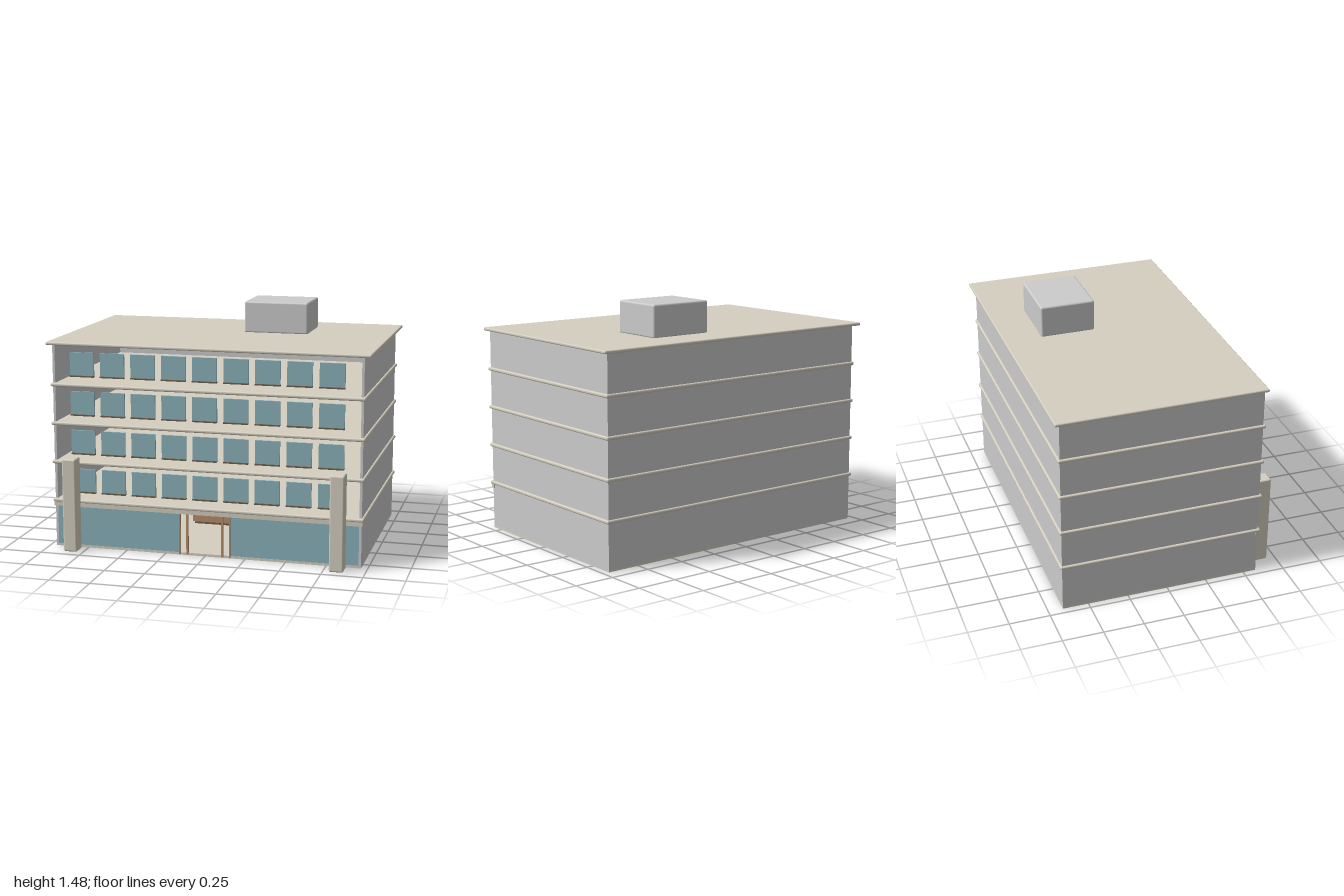
import * as THREE from 'three';
import { RoundedBoxGeometry } from 'three/addons/geometries/RoundedBoxGeometry.js';

const mat = (color) => new THREE.MeshStandardMaterial({ color });
const wall = mat(0xcccccc);
const stone = mat(0xd4cfc0);
const glass = mat(0x8ab2bb);
const wood = mat(0xb98e68);
const darkWood = mat(0x6e5d4b);

export function createModel() {
  const model = new THREE.Group();

  // Box given by its extents on each axis; a bevel radius rounds the edges
  function box(name, material, [x0, x1], [y0, y1], [z0, z1], bevel = 0) {
    const size = [x1 - x0, y1 - y0, z1 - z0];
    const geometry = bevel
      ? new RoundedBoxGeometry(...size, 2, bevel)
      : new THREE.BoxGeometry(...size);
    const mesh = new THREE.Mesh(geometry, material);
    mesh.name = name;
    mesh.position.set((x0 + x1) / 2, (y0 + y1) / 2, (z0 + z1) / 2);
    model.add(mesh);
  }

  // Open-fronted shell
  box('groundSlab', stone, [-0.96, 0.96], [0, 0.015], [-0.66, 0.58]);
  box('backWall', wall, [-0.96, 0.96], [0.002, 1.27], [-0.66, -0.645]);
  for (const s of [-1, 1]) {
    const xs = s < 0 ? [-0.96, -0.945] : [0.945, 0.96];
    box('sideWall', wall, xs, [0.002, 1.27], [-0.645, 0.58]);
  }

  // Floor slabs projecting as ledges, then the roof and its plant room
  const floors = [0.295, 0.538, 0.78, 1.021];
  for (const y of floors) {
    box('floorSlab', stone, [-0.973, 0.973], [y - 0.011, y + 0.011], [-0.672, 0.595], 0.009);
  }
  box('roof', stone, [-1, 1], [1.264, 1.284], [-0.695, 0.592], 0.008);
  box('roofRoom', wall, [0.07, 0.48], [1.28, 1.48], [-0.462, -0.12], 0.012);

  // Window rows with sills, standing in the front opening
  for (const y of floors) {
    for (let i = -4; i <= 4; i++) {
      const x = i * 0.193;
      const xs = [x - 0.076, x + 0.076];
      box('windowPane', glass, xs, [y + 0.06, y + 0.204], [0.567, 0.579]);
      box('windowSill', darkWood, xs, [y + 0.054, y + 0.062], [0.565, 0.589]);
    }
  }

  // Shopfront glazing, lintel and pillars
  box('lintel', stone, [-0.965, 0.965], [0.26, 0.29], [0.565, 0.592]);
  for (const s of [-1, 1]) {
    const xs = s < 0 ? [-0.945, -0.16] : [0.16, 0.945];
    box('shopGlass', glass, xs, [0.012, 0.262], [0.567, 0.579]);
    box('pillar', stone, [s * 0.829 - 0.043, s * 0.829 + 0.043], [0, 0.583], [0.602, 0.696], 0.01);
    box('doorPost', wood, [s * 0.11 - 0.006, s * 0.11 + 0.006], [0.005, 0.262], [0.572, 0.587]);
    box('doorJamb', wood, [s * 0.157 - 0.004, s * 0.157 + 0.004], [0.005, 0.262], [0.572, 0.587]);
  }

  // Reception desk seen through the entrance
  box('deskBody', wood, [-0.26, 0.26], [0.03, 0.122], [-0.2, -0.06]);
  box('deskPlinth', darkWood, [-0.25, 0.25], [0.015, 0.03], [-0.19, -0.07]);

  return model;
}
